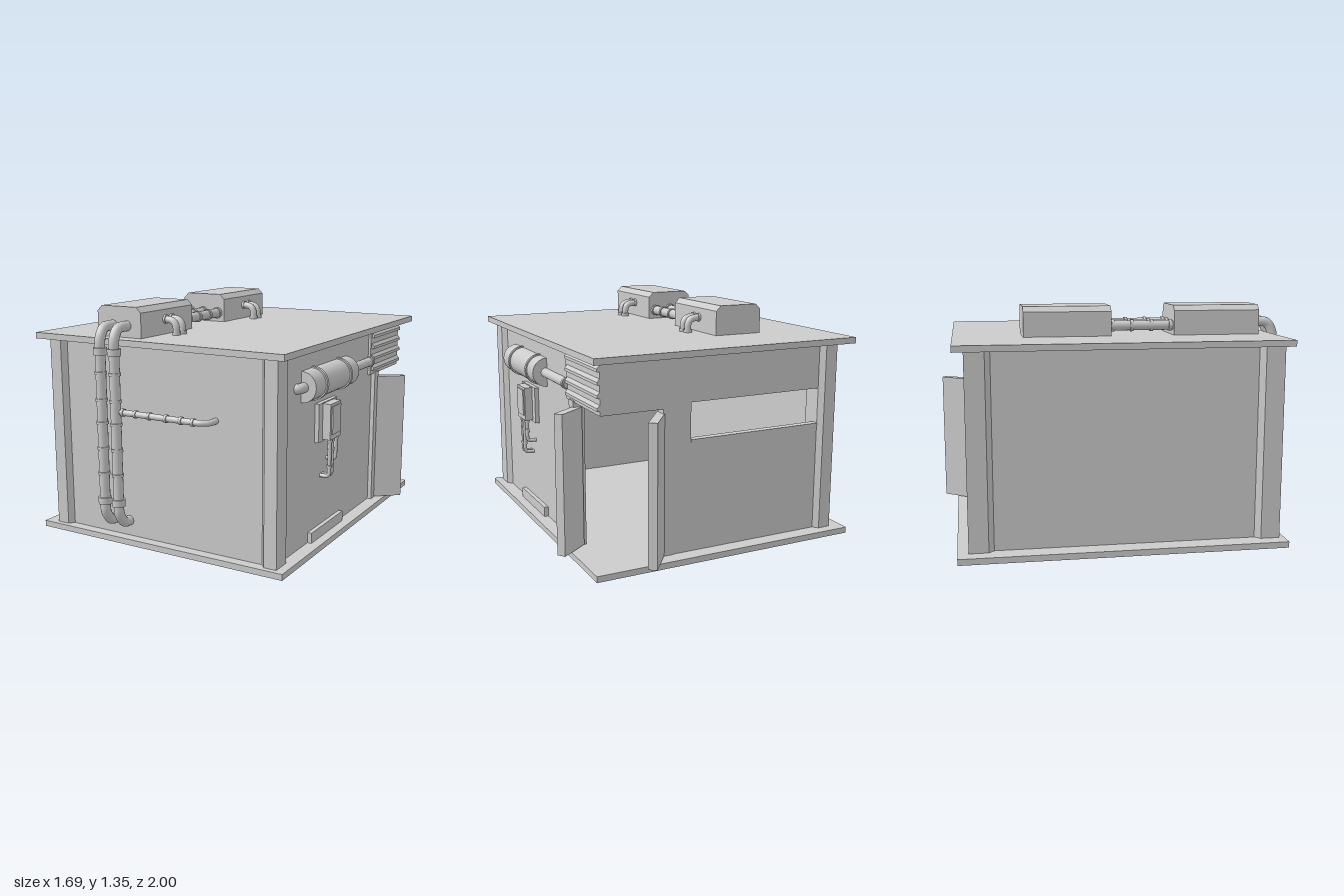
import * as THREE from 'three';

export function createModel() {
  const root = new THREE.Group();
  const mat = new THREE.MeshStandardMaterial({ color: 0xcccccc, side: THREE.DoubleSide });
  const V = (x, y, z) => new THREE.Vector3(x, y, z);

  const add = (name, geo, parent = root) => {
    const m = new THREE.Mesh(geo, mat);
    m.name = name;
    parent.add(m);
    return m;
  };
  const group = (name) => {
    const g = new THREE.Group();
    g.name = name;
    root.add(g);
    return g;
  };
  // Box given by its limits on each axis
  const box = (name, x0, x1, y0, y1, z0, z1, parent) => {
    const geo = new THREE.BoxGeometry(x1 - x0, y1 - y0, z1 - z0);
    geo.translate((x0 + x1) / 2, (y0 + y1) / 2, (z0 + z1) / 2);
    return add(name, geo, parent);
  };
  // Cylinder between two points
  const rod = (name, a, b, r, parent) => {
    const m = add(name, new THREE.CylinderGeometry(r, r, a.distanceTo(b), 24), parent);
    m.position.copy(a).add(b).multiplyScalar(0.5);
    m.quaternion.setFromUnitVectors(V(0, 1, 0), b.clone().sub(a).normalize());
    return m;
  };
  const collar = (p, axis, r, h, parent) => {
    const d = axis.clone().multiplyScalar(h / 2);
    return rod('collar', p.clone().sub(d), p.clone().add(d), r, parent);
  };
  // Tube along a polyline with rounded corners
  const pipe = (name, pts, r, bend, parent) => {
    const path = new THREE.CurvePath();
    let last = pts[0];
    for (let i = 1; i < pts.length - 1; i++) {
      const p = pts[i];
      const a = p.clone().add(pts[i - 1].clone().sub(p).setLength(bend));
      const b = p.clone().add(pts[i + 1].clone().sub(p).setLength(bend));
      path.add(new THREE.LineCurve3(last, a));
      path.add(new THREE.QuadraticBezierCurve3(a, p, b));
      last = b;
    }
    path.add(new THREE.LineCurve3(last, pts[pts.length - 1]));
    return add(name, new THREE.TubeGeometry(path, 90, r, 16), parent);
  };
  const X = V(1, 0, 0), Y = V(0, 1, 0), Z = V(0, 0, 1);

  // Floor and roof slabs
  box('floorSlab', -0.85, 0.755, 0, 0.035, -0.92, 0.93);
  box('roofSlab', -0.85, 0.755, 1.14, 1.175, -0.92, 0.93);

  // Walls, set back from the corner pillars
  const walls = group('walls');
  const y0 = 0.035, y1 = 1.14;
  box('frontWall', -0.74, 0.675, y0, y1, 0.84, 0.87, walls);
  box('rightWall', -0.74, -0.71, y0, y1, -0.83, 0.87, walls);
  box('leftWall', 0.645, 0.675, y0, y1, -0.45, 0.87, walls);
  box('backWallLower', -0.74, 0.29, y0, 0.67, -0.83, -0.8, walls);
  box('backWallUpper', -0.74, 0.29, 0.88, y1, -0.83, -0.8, walls);
  box('backWallEnd', 0.16, 0.29, 0.67, 0.88, -0.83, -0.8, walls);
  box('windowSill', -0.67, 0.16, 0.66, 0.675, -0.835, -0.79, walls);

  // Corner pillars with bevels towards the walls
  for (const [cx, cz, sx, sz] of [[0.705, 0.9, 1, 1], [-0.77, 0.9, -1, 1], [-0.77, -0.86, -1, -1]]) {
    const s = new THREE.Shape([[0, 0], [0.075, 0], [0.1, 0.03], [0.1, 0.14], [0.03, 0.14], [0, 0.11]]
      .map(([x, z]) => new THREE.Vector2(cx - sx * x, -(cz - sz * z))));
    const g = new THREE.ExtrudeGeometry(s, { depth: y1 - y0, bevelEnabled: false });
    g.rotateX(-Math.PI / 2).translate(0, y0, 0);
    add('cornerPillar', g);
  }

  // Corner entrance: canopy with louvres, posts and two open doors
  const entry = group('entrance');
  box('canopy', 0.265, 0.69, 0.86, y1, -0.835, -0.36, entry);
  for (let i = 0; i < 4; i++) {
    const s = new THREE.Shape([[0.68, 0], [0.705, 0], [0.705, 0.016], [0.68, 0.045]]
      .map(([x, y]) => new THREE.Vector2(x, y + 0.885 + i * 0.068)));
    const g = new THREE.ExtrudeGeometry(s, { depth: 0.455, bevelEnabled: false });
    add('louvre', g.translate(0, 0, -0.835), entry);
  }
  box('doorPost', 0.635, 0.7, y0, 0.87, -0.485, -0.42, entry);
  box('doorPost', 0.265, 0.33, y0, 0.87, -0.835, -0.77, entry);
  for (const [x, z, dx, dz, len] of [[0.465, -0.985, 0.6, -0.8, 0.27], [0.828, -0.595, 0.8, -0.6, 0.2]]) {
    const d = add('door', new THREE.BoxGeometry(len, 0.795, 0.05), entry);
    d.position.set(x - dx * len / 2, 0.4375, z - dz * len / 2);
    d.rotation.y = Math.atan2(-dz, dx);
  }

  // Roof units: bevelled housings joined by three pipes
  const units = group('roofUnits');
  const L = -0.46, R = -0.165, T = 1.345;
  const profile = new THREE.Shape([[L, 1.175], [R, 1.175], [R, T - 0.03], [R - 0.03, T], [L + 0.03, T], [L, T - 0.03]]
    .map(([x, y]) => new THREE.Vector2(x, y)));
  for (const [z0, z1, vents] of [[0.34, 0.845, [0.555, 0.615]], [-0.525, -0.025, [-0.325, -0.27]]]) {
    const g = new THREE.ExtrudeGeometry(profile, { depth: z1 - z0, bevelEnabled: false });
    add('roofHousing', g.translate(0, 0, z0), units);
    for (const z of vents) {
      pipe('ventPipe', [V(-0.18, 1.26, z), V(-0.09, 1.255, z), V(-0.09, 1.17, z)], 0.02, 0.05, units);
      collar(V(-0.09, 1.184, z), Y, 0.026, 0.018, units);
      collar(V(-0.16, 1.26, z), X, 0.025, 0.015, units);
    }
  }
  for (const x of [-0.41, -0.315, -0.21]) {
    rod('linkPipe', V(x, 1.23, -0.03), V(x, 1.23, 0.345), 0.028, units);
    for (const z of [-0.01, 0.1, 0.215, 0.325]) collar(V(x, 1.23, z), Z, 0.034, 0.018, units);
  }

  // Front downpipes and the side branch
  const front = group('frontPipes');
  for (const x of [-0.355, -0.26]) {
    pipe('downpipe', [V(x, 1.24, 0.83), V(x, 1.24, 0.93), V(x, 1.18, 0.965), V(x, 0.19, 0.965),
      V(x, 0.125, 0.92), V(x, 0.125, 0.86)], 0.029, 0.03, front);
    for (const y of [0.99, 0.84, 0.71, 0.565, 0.42]) collar(V(x, y, 0.965), Y, 0.034, 0.016, front);
    for (const y of [1.11, 0.26]) collar(V(x, y, 0.965), Y, 0.038, 0.04, front);
  }
  pipe('branchPipe', [V(-0.26, 0.78, 0.957), V(0.28, 0.78, 0.957), V(0.325, 0.78, 0.925), V(0.325, 0.78, 0.86)],
    0.017, 0.02, front);
  for (const x of [-0.215, -0.13, -0.04, 0.07, 0.165, 0.24]) collar(V(x, 0.78, 0.957), X, 0.022, 0.016, front);

  // Side tank with straps, elbow and feed pipe
  const tank = group('sideTank');
  rod('tankBody', V(0.677, 0.944, -0.005), V(0.677, 0.944, 0.575), 0.086, tank);
  for (const z of [0.115, 0.44]) collar(V(0.677, 0.944, z), Z, 0.094, 0.022, tank);
  rod('feedPipe', V(0.685, 0.944, -0.38), V(0.685, 0.944, 0), 0.027, tank);
  collar(V(0.685, 0.944, -0.355), Z, 0.033, 0.02, tank);
  pipe('tankElbow', [V(0.69, 0.944, 0.56), V(0.69, 0.944, 0.635), V(0.64, 0.944, 0.635)], 0.028, 0.03, tank);

  // Switch box with cable conduits
  const sw = group('switchBox');
  box('backPlate', 0.67, 0.7, 0.6, 0.82, 0.16, 0.4, sw);
  box('boxBody', 0.69, 0.747, 0.61, 0.815, 0.21, 0.35, sw);
  box('boxLid', 0.74, 0.755, 0.64, 0.8, 0.225, 0.335, sw);
  for (const [z, y] of [[0.316, 0.39], [0.284, 0.39], [0.235, 0.475]]) {
    pipe('conduit', [V(0.73, 0.62, z), V(0.73, y, z), V(0.66, y, z)], 0.011, 0.025, sw);
    for (const cy of [0.6, 0.545, y + 0.06]) collar(V(0.73, cy, z), Y, 0.015, 0.014, sw);
  }

  // Low panel at the foot of the side wall
  box('kickPanel', 0.66, 0.7, y0, 0.095, 0.04, 0.47);

  return root;
}
